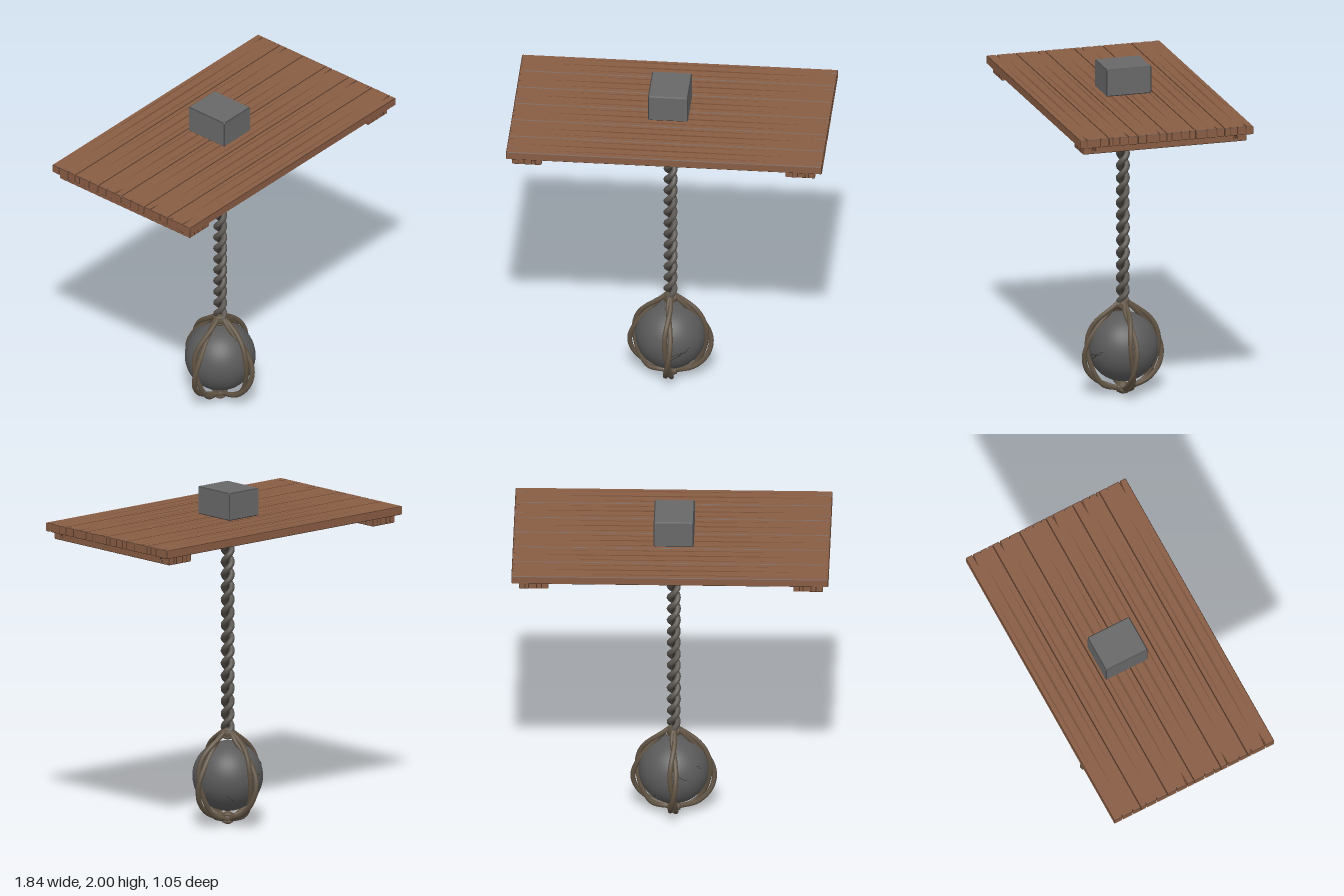
import * as THREE from 'three';

const material = (name, color, side = THREE.FrontSide) => {
  const m = new THREE.MeshStandardMaterial({ color, side });
  m.name = name;
  return m;
};
const AXIS_X = -0.013, AXIS_Z = -0.022; // the line the rope hangs on

// Chamfers and slanted crack walls get the edge material, straight faces the main one
function edged(geometry, main, edge) {
  const g = geometry.index ? geometry.toNonIndexed() : geometry;
  g.computeVertexNormals();
  g.clearGroups();
  const n = g.attributes.normal;
  for (let i = 0; i < n.count; i += 3) {
    const straight = Math.max(Math.abs(n.getX(i)), Math.abs(n.getY(i)), Math.abs(n.getZ(i))) > 0.95;
    g.addGroup(i, 3, straight ? 0 : 1);
  }
  return new THREE.Mesh(g, [main, edge]);
}

// Extrusion that keeps its outline and total depth, with a small chamfer
function chamfered(shape, depth, b) {
  return new THREE.ExtrudeGeometry(shape, {
    depth: depth - 2 * b, bevelEnabled: true, bevelThickness: b, bevelSize: b,
    bevelOffset: -b, bevelSegments: 1, curveSegments: 10,
  }).translate(0, 0, b);
}

function rectangle(x0, x1, y0, y1, c) {
  return new THREE.Shape([
    [x0 + c, y0], [x1 - c, y0], [x1, y0 + c], [x1, y1 - c],
    [x1 - c, y1], [x0 + c, y1], [x0, y1 - c], [x0, y0 + c],
  ].map(([x, y]) => new THREE.Vector2(x, y)));
}

function tube(points, radius, segments, mat, name, sides = 8) {
  const path = new THREE.CatmullRomCurve3(points);
  const mesh = new THREE.Mesh(new THREE.TubeGeometry(path, segments, radius, sides), mat);
  mesh.name = name;
  return mesh;
}

export function createModel() {
  const root = new THREE.Group();
  root.name = 'hangingWeight';
  const wood = material('wood', 0x885c43);
  const grainMat = material('woodGrain', 0x744d37, THREE.DoubleSide);
  const darkWood = material('darkWoodEdge', 0x523727);
  const blockMat = material('greyBlock', 0x686868);
  const blockEdge = material('darkBlockEdge', 0x444648);
  const stone = material('greyStone', 0x5a5a5a);
  const ropeMat = material('rope', 0x57524d);
  const netMat = material('netRope', 0x605343);
  const dark = material('darkCrease', 0x332d28);
  const add = (mesh, name, parent = root) => {
    mesh.name = name;
    parent.add(mesh);
    return mesh;
  };

  // Six planks with split ends: [fraction across the plank, crack length]
  const X0 = -0.92, X1 = 0.915, Z0 = -0.526, W = 0.1748, C = 0.004;
  const PLANK_Y = 1.786, TOP_Y = 1.836;
  const rightCracks = [
    [[0.26, 0.08], [0.55, 0.012], [0.8, 0.015]], [[0.27, 0.07], [0.62, 0.012]],
    [[0.2, 0.012], [0.5, 0.015], [0.82, 0.01]], [[0.25, 0.09], [0.7, 0.012]],
    [[0.34, 0.11], [0.62, 0.012], [0.88, 0.025]], [[0.3, 0.012], [0.77, 0.09]],
  ];
  const leftCracks = [
    [[0.3, 0.012], [0.7, 0.015]], [[0.2, 0.01], [0.6, 0.015]],
    [[0.35, 0.012], [0.73, 0.09]], [[0.4, 0.015], [0.75, 0.012]],
    [[0.25, 0.09], [0.7, 0.012]], [[0.15, 0.025], [0.66, 0.1]],
  ];
  const holeX = [AXIS_X - 0.065, AXIS_X + 0.04];
  for (let i = 0; i < 6; i++) {
    const top = -(Z0 + i * W), bottom = top - W;
    const pts = [[X0 + C, bottom]];
    if (i === 2) pts.push([holeX[0], bottom], [holeX[0], 0.06], [holeX[1], 0.06], [holeX[1], bottom]);
    pts.push([X1 - C, bottom], [X1, bottom + C]);
    [...rightCracks[i]].reverse().forEach(([f, len]) => {
      const s = top - f * W;
      pts.push([X1, s - 0.0035], [X1 - len, s + 0.002], [X1, s + 0.0035]);
    });
    pts.push([X1, top - C], [X1 - C, top]);
    if (i === 3) pts.push([holeX[1], top], [holeX[1], -0.018], [holeX[0], -0.018], [holeX[0], top]);
    pts.push([X0 + C, top], [X0, top - C]);
    leftCracks[i].forEach(([f, len]) => {
      const s = top - f * W;
      pts.push([X0, s + 0.0035], [X0 + len, s - 0.002], [X0, s - 0.0035]);
    });
    pts.push([X0, bottom + C]);
    const shape = new THREE.Shape(pts.map(([x, y]) => new THREE.Vector2(x, y)));
    const geo = chamfered(shape, TOP_Y - PLANK_Y, 0.004).rotateX(-Math.PI / 2).translate(0, PLANK_Y, 0);
    add(edged(geo, wood, darkWood), 'plank');

    // Long thin grain streaks on the upper face
    [[0.17, 0.6], [0.48, 0.76], [0.8, 0.66]].forEach(([f, half], k) => {
      const z = Z0 + (i + f) * W, h = k === 1 ? 0.011 : 0.006, dx = 0.05 * Math.sin(i * 2 + k);
      const lens = new THREE.Shape();
      lens.moveTo(-half, 0);
      lens.quadraticCurveTo(0, -h * 1.5, half, 0);
      lens.quadraticCurveTo(0, h, -half, 0);
      const streak = add(new THREE.Mesh(new THREE.ShapeGeometry(lens, 10), grainMat), 'grainStreak');
      streak.rotation.x = -Math.PI / 2;
      streak.position.set(dx, TOP_Y + 0.001, z);
    });
  }

  // Two cross battens under the planks, drilled near both ends
  for (const x0 of [-0.888, 0.701]) {
    const shape = rectangle(-0.495, 0.497, 1.738, 1.785, 0.004);
    for (const s of [-0.428, 0.43]) {
      const hole = new THREE.Path();
      hole.absarc(s, 1.761, 0.011, 0, Math.PI * 2, true);
      shape.holes.push(hole);
    }
    const geo = chamfered(shape, 0.172, 0.004).rotateY(Math.PI / 2).translate(x0, 0, 0);
    add(edged(geo, wood, darkWood), 'batten');
    for (const z of [-0.497, 0.495]) for (const d of [0.04, 0.07, 0.115, 0.135]) {
      const split = add(new THREE.Mesh(new THREE.BoxGeometry(0.005, 0.036, 0.004), darkWood), 'battenSplit');
      split.position.set(x0 + d, 1.762, z);
    }
  }

  // Block resting on the planks
  const blockGeo = chamfered(rectangle(-0.132, 0.1, -0.112, 0.162, 0.006), 2 - TOP_Y, 0.006)
    .rotateX(-Math.PI / 2).translate(0, TOP_Y, 0);
  add(edged(blockGeo, blockMat, blockEdge), 'topBlock');

  // Hanging parts share the rope axis
  const hanging = new THREE.Group();
  hanging.name = 'hangingRope';
  hanging.position.set(AXIS_X, 0, AXIS_Z);
  root.add(hanging);

  // Two-strand twisted rope with dark creases between the strands
  const helix = (phase, offset) => Array.from({ length: 141 }, (_, i) => {
    const y = 0.55 + 1.28 * i / 140, a = phase + (y / 0.15) * Math.PI * 2;
    return new THREE.Vector3(Math.cos(a) * offset, y, -Math.sin(a) * offset);
  });
  for (const p of [0, Math.PI]) {
    hanging.add(tube(helix(p, 0.0235), 0.0175, 240, ropeMat, 'ropeStrand'));
    hanging.add(tube(helix(p + Math.PI / 2, 0.006), 0.007, 240, dark, 'ropeCrease', 5));
  }

  // Stone ball
  const R = 0.205, BALL_Y = 0.292;
  add(new THREE.Mesh(new THREE.SphereGeometry(R, 40, 28), stone), 'stoneBall', hanging)
    .position.y = BALL_Y;

  // Fine cracks lying on the ball: start and end as [azimuth from front, elevation]
  const cracks = [
    [0.02, -0.2, 0.68, 0.05], [0.1, -0.3, 0.42, -0.1], [0.3, -0.14, 0.6, -0.04],
    [2.38, -0.42, 2.62, -0.62], [3.2, 0.3, 3.55, 0.1], [3.95, 0.45, 4.1, 0.3],
  ];
  for (const [a0, e0, a1, e1] of cracks) {
    const pts = [0, 0.35, 0.65, 1].map((t, k) => {
      const a = a0 + (a1 - a0) * t, e = e0 + (e1 - e0) * t + (k % 2 ? 0.01 : -0.01);
      return new THREE.Vector3(Math.sin(a) * Math.cos(e), Math.sin(e), Math.cos(a) * Math.cos(e))
        .multiplyScalar(R).add(new THREE.Vector3(0, BALL_Y, 0));
    });
    hanging.add(tube(pts, 0.0016, 12, dark, 'stoneCrack', 5));
  }

  // Net: four pairs of strands winding round each other from knot to knot
  const profile = new THREE.SplineCurve([
    [0.022, 0.56], [0.085, 0.508], [0.16, 0.435], [0.207, 0.35], [0.222, 0.26],
    [0.2, 0.165], [0.145, 0.09], [0.08, 0.055], [0.02, 0.04],
  ].map(([x, y]) => new THREE.Vector2(x, y)));
  for (let q = 0; q < 4; q++) for (const phase of [0, Math.PI]) {
    const pts = Array.from({ length: 33 }, (_, i) => {
      const t = i / 32, p = profile.getPoint(t), a = phase + t * Math.PI * 2.6;
      const amp = 0.017 * Math.min(1, Math.sin(t * Math.PI) * 2);
      return new THREE.Vector3(Math.cos(a) * amp, p.y, p.x + Math.sin(a) * amp)
        .applyAxisAngle(new THREE.Vector3(0, 1, 0), q * Math.PI / 2);
    });
    hanging.add(tube(pts, 0.0145, 64, netMat, 'netStrand'));
  }

  // Knots above and below the ball
  for (const y of [0.543, 0.043]) {
    add(new THREE.Mesh(new THREE.SphereGeometry(0.038, 16, 12), netMat), 'knotCore', hanging).position.y = y;
    for (const tilt of [-0.5, 0.5]) {
      const loop = add(new THREE.Mesh(new THREE.TorusGeometry(0.033, 0.011, 8, 24), netMat), 'knotLoop', hanging);
      loop.position.y = y;
      loop.rotation.set(Math.PI / 2 + tilt, tilt, 0);
    }
  }
  return root;
}
